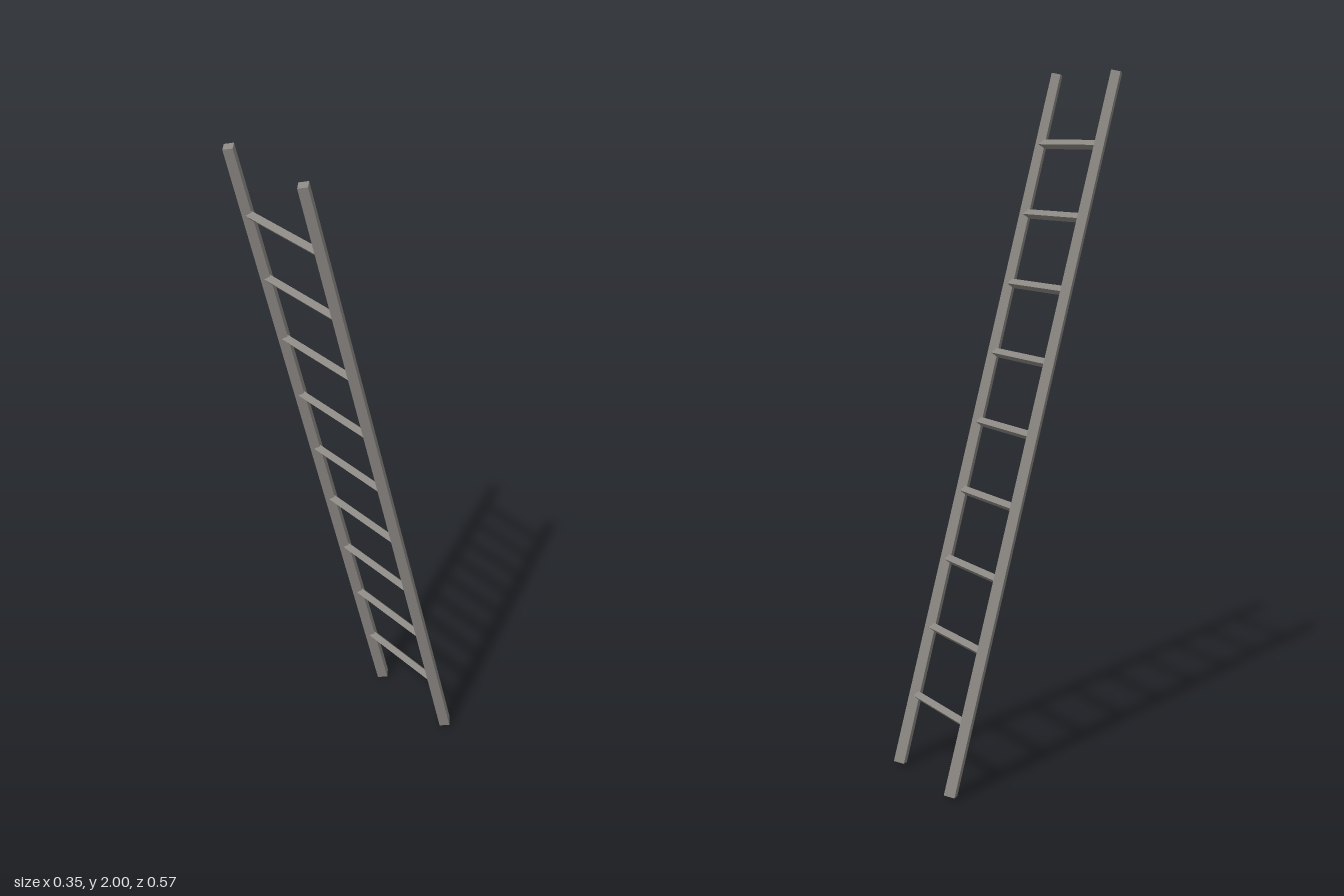
import * as THREE from 'three';

const TILT = THREE.MathUtils.degToRad(15);
const RAIL_X = 0.153;
const RAIL_LENGTH = 2.06;
const RUNGS = 9;

export function createModel() {
  const ladder = new THREE.Group();
  ladder.name = 'ladder';
  const metal = new THREE.MeshStandardMaterial({ color: 0x8c8883, flatShading: true });
  metal.name = 'warm grey';

  // Four-sided side rails, slightly thinner at the top, leaning forward
  const railGeometry = new THREE.CylinderGeometry(0.019, 0.0222, RAIL_LENGTH, 4);
  railGeometry.rotateX(TILT);
  for (const side of [-1, 1]) {
    const rail = new THREE.Mesh(railGeometry, metal);
    rail.name = side > 0 ? 'leftRail' : 'rightRail';
    rail.position.set(side * RAIL_X, 1, 0);
    ladder.add(rail);
  }

  // Evenly spaced diamond-section rungs running into the rails
  const rungGeometry = new THREE.CylinderGeometry(0.0135, 0.0135, RAIL_X * 2, 4);
  rungGeometry.rotateZ(Math.PI / 2);
  for (let i = 0; i < RUNGS; i++) {
    const rise = (i - (RUNGS - 1) / 2) * 0.199;
    const rung = new THREE.Mesh(rungGeometry, metal);
    rung.name = `rung${i + 1}`;
    rung.position.set(0, 1 + rise, rise * Math.tan(TILT));
    ladder.add(rung);
  }
  return ladder;
}
